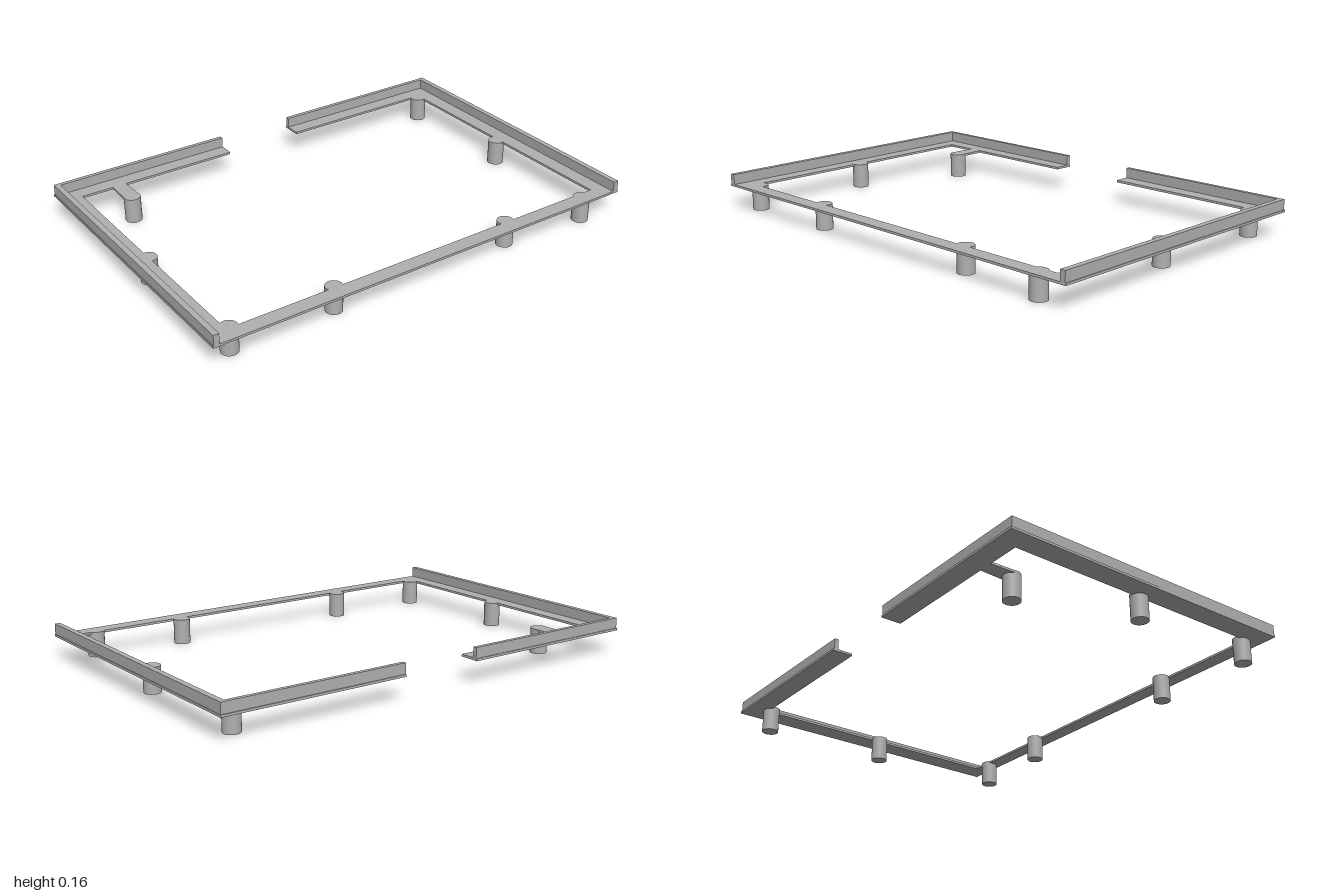
import * as THREE from 'three';

export function createModel() {
  const model = new THREE.Group();
  const grey = new THREE.MeshStandardMaterial({ color: 0xb0b0b0 });
  grey.name = 'plain grey';

  const BASE = 0.1, FLOOR = 0.11, TOP = 0.155;

  // Extrudes an outline of [x, z] points upwards from y0 to y1
  function slab(name, points, y0, y1) {
    const shape = new THREE.Shape(points.map(([x, z]) => new THREE.Vector2(x, -z)));
    const geometry = new THREE.ExtrudeGeometry(shape, { depth: y1 - y0, bevelEnabled: false });
    geometry.rotateX(-Math.PI / 2);
    geometry.translate(0, y0, 0);
    const mesh = new THREE.Mesh(geometry, grey);
    mesh.name = name;
    model.add(mesh);
  }

  // Flat ledge running round the frame, open at the middle of the back
  slab('ledge', [
    [-1, 0.675], [1, 0.675], [1, -0.677], [0.18, -0.677], [0.18, -0.588], [0.905, -0.588],
    [0.905, 0.608], [-0.908, 0.608], [-0.908, -0.588], [-0.18, -0.588], [-0.18, -0.677], [-1, -0.677],
  ], BASE, FLOOR);

  // L-shaped upright rims along each side and half of the back
  for (const s of [-1, 1]) {
    slab(s > 0 ? 'leftRim' : 'rightRim', [
      [s * 0.997, 0.675], [s * 0.997, -0.673], [s * 0.18, -0.673],
      [s * 0.18, -0.655], [s * 0.973, -0.655], [s * 0.973, 0.675],
    ], FLOOR, TOP);
  }

  // Tapered arm reaching in from the back ledge to its post
  slab('arm', [
    [-0.765, -0.6], [-0.705, -0.6], [-0.7, -0.468], [-0.77, -0.468],
  ], BASE, FLOOR);

  // Round posts under the ledge
  const postGeometry = new THREE.CylinderGeometry(0.036, 0.036, FLOOR, 32);
  const posts = [
    [-0.89, 0.595], [-0.43, 0.595], [0.43, 0.595], [0.832, 0.627],
    [-0.907, 0.01], [0.895, 0.01], [0.895, -0.575], [-0.735, -0.468],
  ];
  for (const [x, z] of posts) {
    const post = new THREE.Mesh(postGeometry, grey);
    post.name = 'post';
    post.position.set(x, FLOOR / 2, z);
    model.add(post);
  }

  return model;
}
